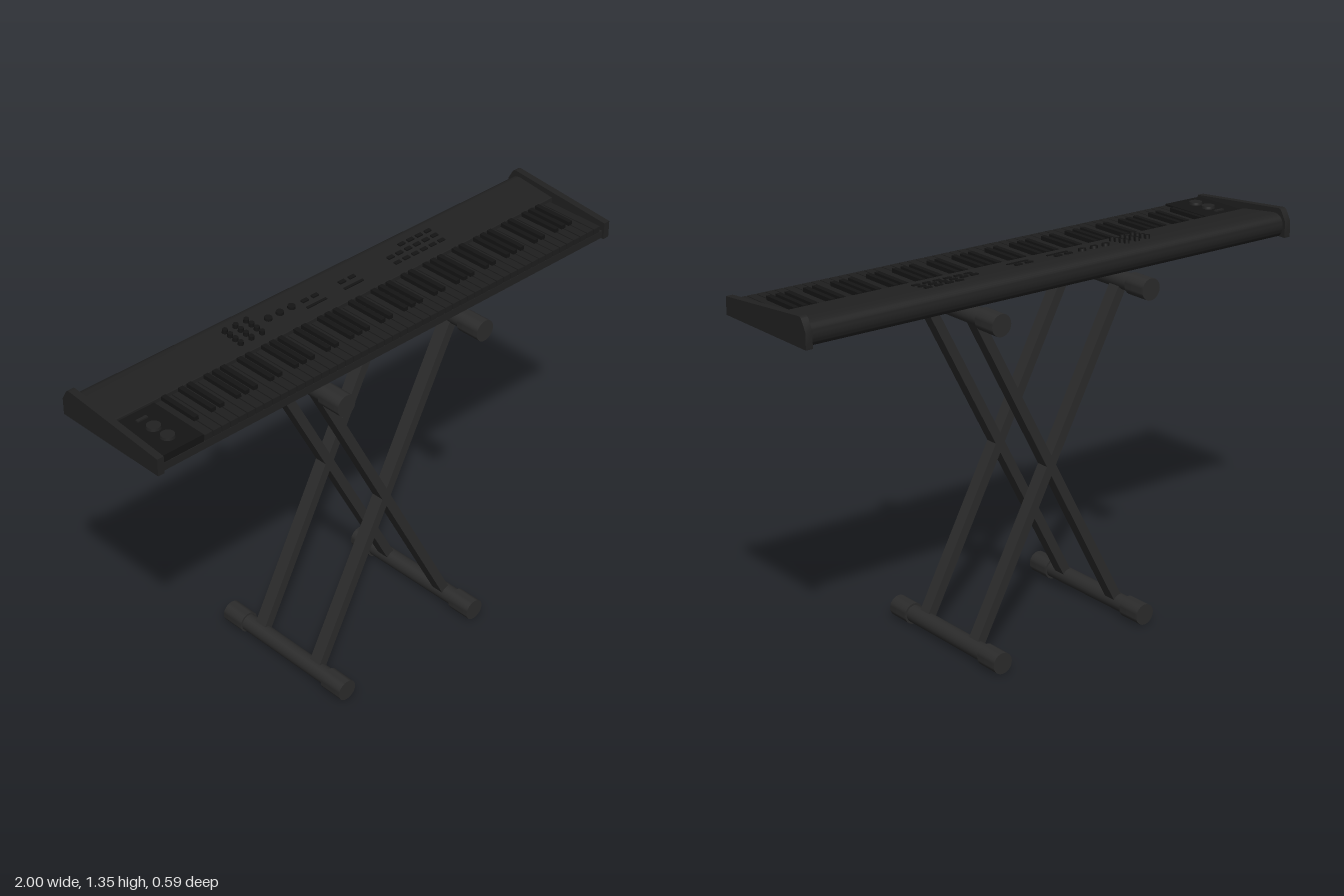
import * as THREE from 'three';
import { toCreasedNormals } from 'three/addons/utils/BufferGeometryUtils.js';

const paint = (name, color) => {
  const m = new THREE.MeshStandardMaterial({ color });
  m.name = name;
  return m;
};

export function createModel() {
  const root = new THREE.Group();
  root.name = 'keyboardOnStand';
  const standBlack = paint('standBlack', 0x2b2b2b);
  const bodyBlack = paint('bodyBlack', 0x212121);
  const keyDark = paint('keyDark', 0x1e1e1e);
  const sharpBlack = paint('sharpBlack', 0x141414);

  const add = (parent, name, geo, mat, x = 0, y = 0, z = 0) => {
    const m = new THREE.Mesh(geo, mat);
    m.name = name;
    m.position.set(x, y, z);
    parent.add(m);
    return m;
  };
  const group = (name) => {
    const g = new THREE.Group();
    g.name = name;
    root.add(g);
    return g;
  };
  // Extrudes a (z, y) outline along x, centred on x = 0
  const alongX = (shape, width) => {
    const g = new THREE.ExtrudeGeometry(shape, { depth: width, bevelEnabled: false, curveSegments: 8 });
    g.translate(0, 0, -width / 2).rotateY(-Math.PI / 2);
    return toCreasedNormals(g, 0.6);
  };

  // Body: low key bed in front, sloping panel with a rounded back edge
  const body = group('keyboardBody');
  const s = new THREE.Shape();
  s.moveTo(0.212, 1.257);
  s.lineTo(0.212, 1.284);
  s.lineTo(-0.02, 1.294);
  s.lineTo(-0.02, 1.317);
  s.lineTo(-0.17, 1.335);
  s.quadraticCurveTo(-0.205, 1.336, -0.214, 1.31);
  s.quadraticCurveTo(-0.222, 1.275, -0.2, 1.257);
  s.closePath();
  add(body, 'case', alongX(s, 1.952), bodyBlack);

  // End caps
  const c = new THREE.Shape();
  c.moveTo(0.22, 1.255);
  c.lineTo(0.22, 1.316);
  c.lineTo(-0.188, 1.354);
  c.quadraticCurveTo(-0.202, 1.356, -0.208, 1.345);
  c.lineTo(-0.227, 1.312);
  c.lineTo(-0.227, 1.255);
  c.closePath();
  const capGeo = alongX(c, 0.025);
  for (const side of [-1, 1]) add(body, side > 0 ? 'leftEndCap' : 'rightEndCap', capGeo, bodyBlack, side * 0.9875);

  // Keys: 52 naturals with sharps between them
  const keys = group('keys');
  const count = 52, x0 = -0.81, pitch = 1.775 / count;
  const natural = new THREE.BoxGeometry(pitch - 0.004, 0.022, 0.23);
  const sharp = new THREE.BoxGeometry(0.018, 0.016, 0.155);
  for (let i = 0; i < count; i++) {
    add(keys, 'naturalKey', natural, keyDark, x0 + (i + 0.5) * pitch, 1.295, 0.096);
    // The keyboard starts on A, so there is no sharp after B or E
    if (i < count - 1 && i % 7 !== 1 && i % 7 !== 4) {
      add(keys, 'sharpKey', sharp, sharpBlack, x0 + (i + 1) * pitch, 1.312, 0.058);
    }
  }

  // Block beside the lowest keys with two wheels and a button
  add(body, 'wheelBlock', new THREE.BoxGeometry(0.163, 0.026, 0.23), sharpBlack, -0.894, 1.298, 0.096);
  const wheel = new THREE.CylinderGeometry(0.023, 0.025, 0.01, 24);
  for (const z of [0.08, 0.145]) add(body, 'controlWheel', wheel, bodyBlack, -0.897, 1.315, z);
  add(body, 'wheelButton', new THREE.BoxGeometry(0.04, 0.006, 0.012), bodyBlack, -0.897, 1.313, 0.025);

  // Panel controls, tilted with the sloping panel
  const controls = group('panelControls');
  const tilt = Math.atan2(0.018, 0.15);
  const onPanel = (name, geo, mat, x, z, lift) => {
    const m = add(controls, name, geo, mat, x, 1.317 + (-0.02 - z) * 0.12 + lift, z);
    m.rotation.x = tilt;
  };
  const knob = new THREE.CylinderGeometry(0.009, 0.01, 0.016, 16);
  const dial = new THREE.CylinderGeometry(0.013, 0.014, 0.01, 20);
  const button = new THREE.BoxGeometry(0.026, 0.006, 0.014);
  const strip = new THREE.BoxGeometry(0.085, 0.005, 0.009);
  for (const x of [-0.42, -0.375, -0.33]) {
    for (const z of [-0.14, -0.115, -0.09, -0.065]) onPanel('knob', knob, sharpBlack, x, z, 0.006);
  }
  for (const x of [-0.265, -0.215, -0.165]) onPanel('dial', dial, sharpBlack, x, -0.108, 0.004);
  for (const x of [-0.085, 0.08]) {
    for (const dx of [-0.022, 0.022]) onPanel('button', button, sharpBlack, x + dx, -0.108, 0.002);
    onPanel('buttonStrip', strip, sharpBlack, x, -0.075, 0.001);
  }
  for (let i = 0; i < 6; i++) {
    const x = 0.28 + i * 0.041;
    onPanel('button', button, sharpBlack, x, -0.108, 0.002);
    if (i > 1) onPanel('button', button, sharpBlack, x, -0.14, 0.002);
    onPanel('buttonStrip', button, sharpBlack, x, -0.075, 0.001);
  }

  // Stand: four cross tubes with padded ends
  const stand = group('stand');
  const xs = [-0.305, 0.315], yLow = 0.041, yTop = 1.213;
  const tube = new THREE.CylinderGeometry(0.031, 0.031, 0.5, 24).rotateX(Math.PI / 2);
  const pad = toCreasedNormals(new THREE.CylinderGeometry(0.038, 0.038, 0.09, 24), 0.6).rotateX(Math.PI / 2);
  for (const x of xs) {
    for (const y of [yLow, yTop]) {
      const name = y === yLow ? 'foot' : 'rest';
      add(stand, name + 'Tube', tube, standBlack, x, y, 0);
      for (const z of [-0.25, 0.25]) add(stand, name + 'Pad', pad, standBlack, x, y, z);
    }
  }

  // Crossed legs, a front and a back bar on each diagonal
  const dx = xs[1] - xs[0], dy = yTop - yLow;
  const bar = new THREE.BoxGeometry(0.034, Math.hypot(dx, dy), 0.048);
  for (const lean of [-1, 1]) {
    for (const z of [-0.139, 0.139]) {
      const m = add(stand, 'crossLeg', bar, standBlack, 0.005, (yLow + yTop) / 2, z);
      m.rotation.z = lean * Math.atan2(dx, dy);
    }
  }
  return root;
}
